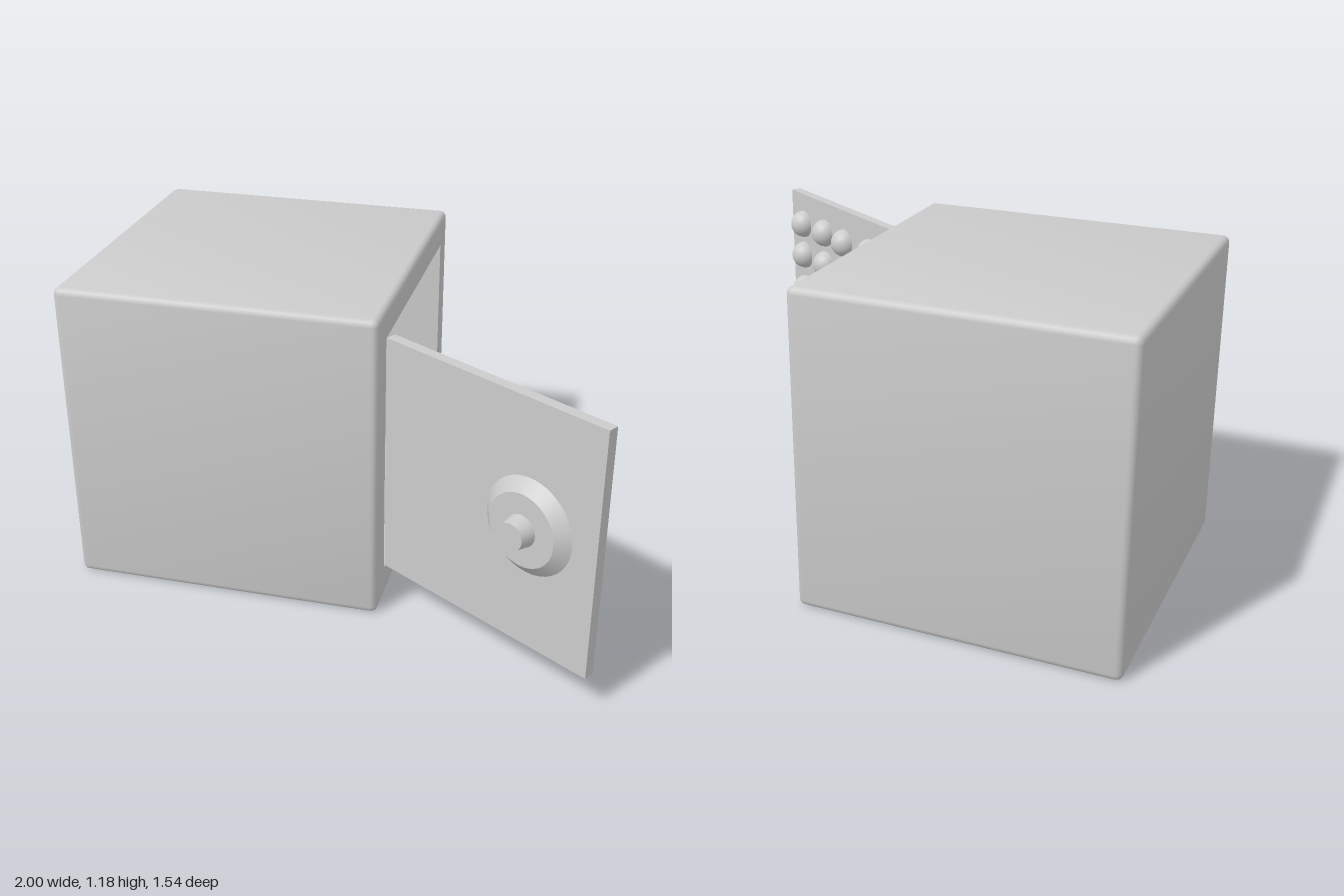
import * as THREE from 'three';
import { toCreasedNormals } from 'three/addons/utils/BufferGeometryUtils.js';

const material = new THREE.MeshStandardMaterial({ color: 0xcccccc });
const thinMaterial = new THREE.MeshStandardMaterial({ color: 0xcccccc, side: THREE.DoubleSide });

function addMesh(parent, name, geometry, x, y, z, mat = material) {
  const mesh = new THREE.Mesh(geometry, mat);
  mesh.name = name;
  mesh.position.set(x, y, z);
  parent.add(mesh);
  return mesh;
}

// Square loop with rounded corners in the plane of constant x
function squareLoop(x, half, radius, y = 0) {
  const points = [];
  for (let corner = 0; corner < 4; corner++) {
    const mid = Math.PI / 4 + corner * Math.PI / 2;
    const reach = (half - radius) * Math.SQRT2;
    for (let j = 0; j <= 4; j++) {
      const a = mid + (j / 4 - 0.5) * Math.PI / 2;
      points.push([
        x,
        y + Math.sin(mid) * reach + Math.sin(a) * radius,
        Math.cos(mid) * reach + Math.cos(a) * radius,
      ]);
    }
  }
  return points;
}

// Skin between successive loops
function skin(loops) {
  const positions = [];
  const n = loops[0].length;
  for (let k = 0; k < loops.length - 1; k++) {
    for (let i = 0; i < n; i++) {
      const j = (i + 1) % n;
      const a = loops[k][i], b = loops[k + 1][i], c = loops[k + 1][j], d = loops[k][j];
      positions.push(...a, ...b, ...c, ...a, ...c, ...d);
    }
  }
  const geometry = new THREE.BufferGeometry();
  geometry.setAttribute('position', new THREE.Float32BufferAttribute(positions, 3));
  return toCreasedNormals(geometry, 0.6);
}

// Hollow cube with rounded outer edges, open on its +x face
function casingGeometry() {
  const half = 0.59, round = 0.025, opening = 0.47, steps = 4;
  const loops = [squareLoop(-half, 0, 0)];
  for (const end of [-1, 1]) {
    for (let s = 0; s <= steps; s++) {
      const a = (end < 0 ? s : steps - s) / steps * Math.PI / 2;
      const x = end * (half - round * (1 - Math.cos(a)));
      loops.push(squareLoop(x, half - round * (1 - Math.sin(a)), round * Math.sin(a)));
    }
  }
  loops.push(
    squareLoop(half, opening, 0, 0.01),
    squareLoop(-0.48, opening, 0, 0.01),
    squareLoop(-0.48, 0, 0, 0.01),
  );
  return skin(loops);
}

export function createModel() {
  const model = new THREE.Group();
  model.name = 'cubeWithOpenDoor';

  addMesh(model, 'casing', casingGeometry(), -0.41, 0.59, -0.18);
  addMesh(model, 'innerBackPanel', new THREE.BoxGeometry(0.04, 0.56, 0.32), -0.87, 0.615, -0.18);

  // Door swung open about the front edge of the opening
  const door = new THREE.Group();
  door.name = 'door';
  door.position.set(0.59, 0.605, 0.51);
  door.rotation.y = -0.548;
  model.add(door);
  addMesh(door, 'doorPanel', new THREE.BoxGeometry(0.935, 0.93, 0.041), 0, 0, 0);

  // Outer handle: bevelled disc and tapered knob
  const plate = new THREE.CylinderGeometry(0.135, 0.18, 0.04, 40).rotateX(Math.PI / 2);
  addMesh(door, 'handlePlate', plate, 0.191, 0.005, 0.04);
  const knob = new THREE.CylinderGeometry(0.049, 0.059, 0.056, 32).rotateX(Math.PI / 2);
  addMesh(door, 'handleKnob', knob, 0.191, 0.005, 0.087);

  // Grid of domes on the inner face
  const studs = new THREE.Group();
  studs.name = 'doorStuds';
  door.add(studs);
  const dome = new THREE.SphereGeometry(0.058, 28, 14, 0, Math.PI * 2, 0, Math.PI / 2).rotateX(-Math.PI / 2);
  const columns = [-0.362, -0.178, 0.004, 0.182, 0.362];
  const rows = [0.94, 0.8, 0.645, 0.48, 0.315];
  columns.forEach((x, i) => {
    for (const y of rows) {
      addMesh(studs, 'stud', dome, x, y - 0.605, i === 2 ? -0.036 : -0.024, thinMaterial);
    }
  });

  return model;
}
